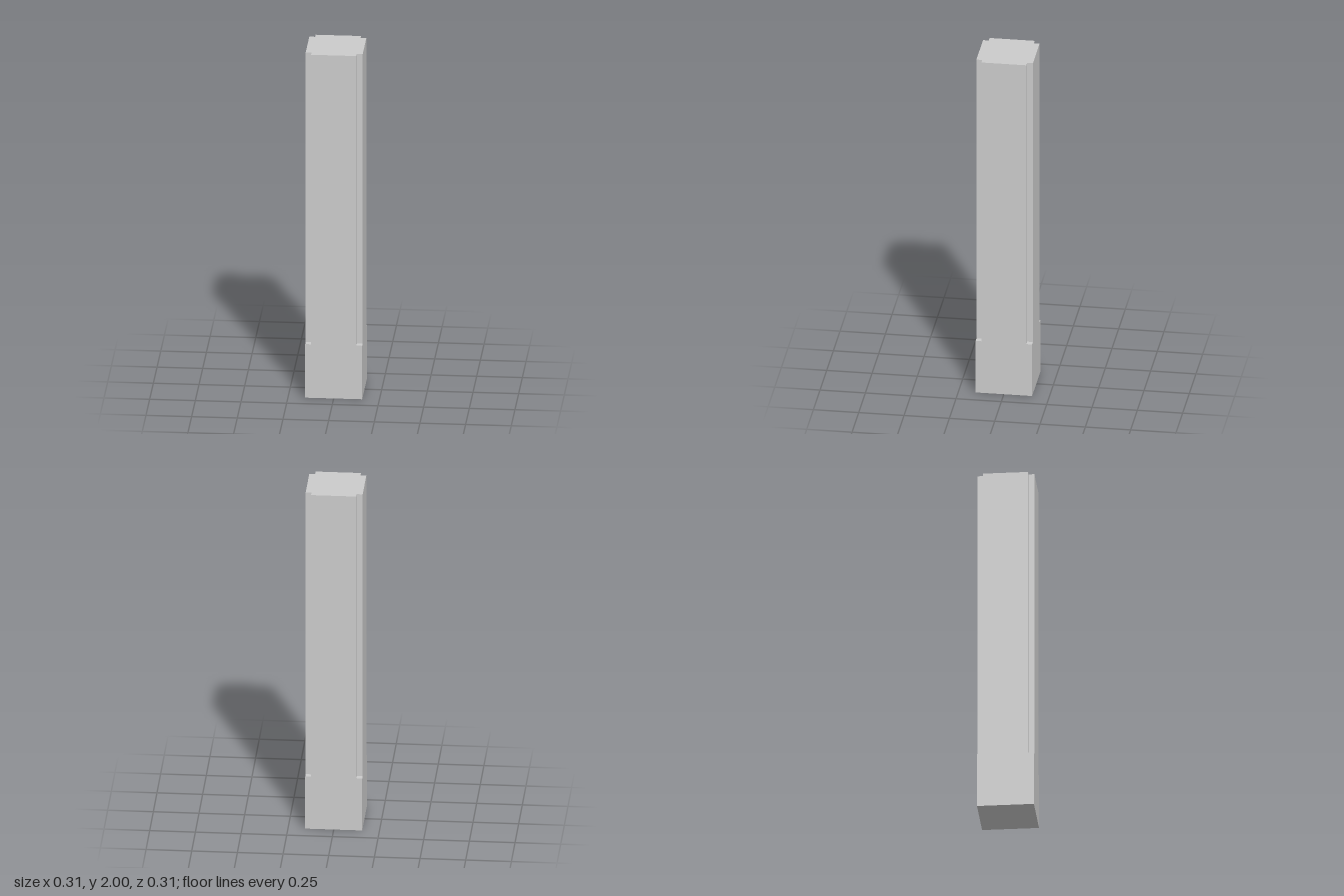
import * as THREE from 'three';

const HALF = 0.156;   // half width of the post
const INNER = 0.124;  // half width between the corner notches
const BASE_H = 0.312; // height of the full square foot
const HEIGHT = 2;

export function createModel() {
  const group = new THREE.Group();
  group.name = 'notchedPost';
  const material = new THREE.MeshStandardMaterial({ color: 0xcccccc, flatShading: true });

  // Square foot
  const foot = new THREE.Mesh(new THREE.BoxGeometry(2 * HALF, BASE_H, 2 * HALF), material);
  foot.name = 'foot';
  foot.position.y = BASE_H / 2;
  group.add(foot);

  // Shaft: square section with a small square notch at each corner
  const points = [];
  for (let i = 0; i < 4; i++) {
    const centre = new THREE.Vector2();
    for (const [x, y] of [[HALF, INNER], [INNER, INNER], [INNER, HALF]]) {
      points.push(new THREE.Vector2(x, y).rotateAround(centre, i * Math.PI / 2));
    }
  }
  const shaftGeometry = new THREE.ExtrudeGeometry(new THREE.Shape(points), {
    depth: HEIGHT - BASE_H,
    bevelEnabled: false,
  });
  shaftGeometry.rotateX(-Math.PI / 2);
  const shaft = new THREE.Mesh(shaftGeometry, material);
  shaft.name = 'notchedShaft';
  shaft.position.y = BASE_H;
  group.add(shaft);

  return group;
}
